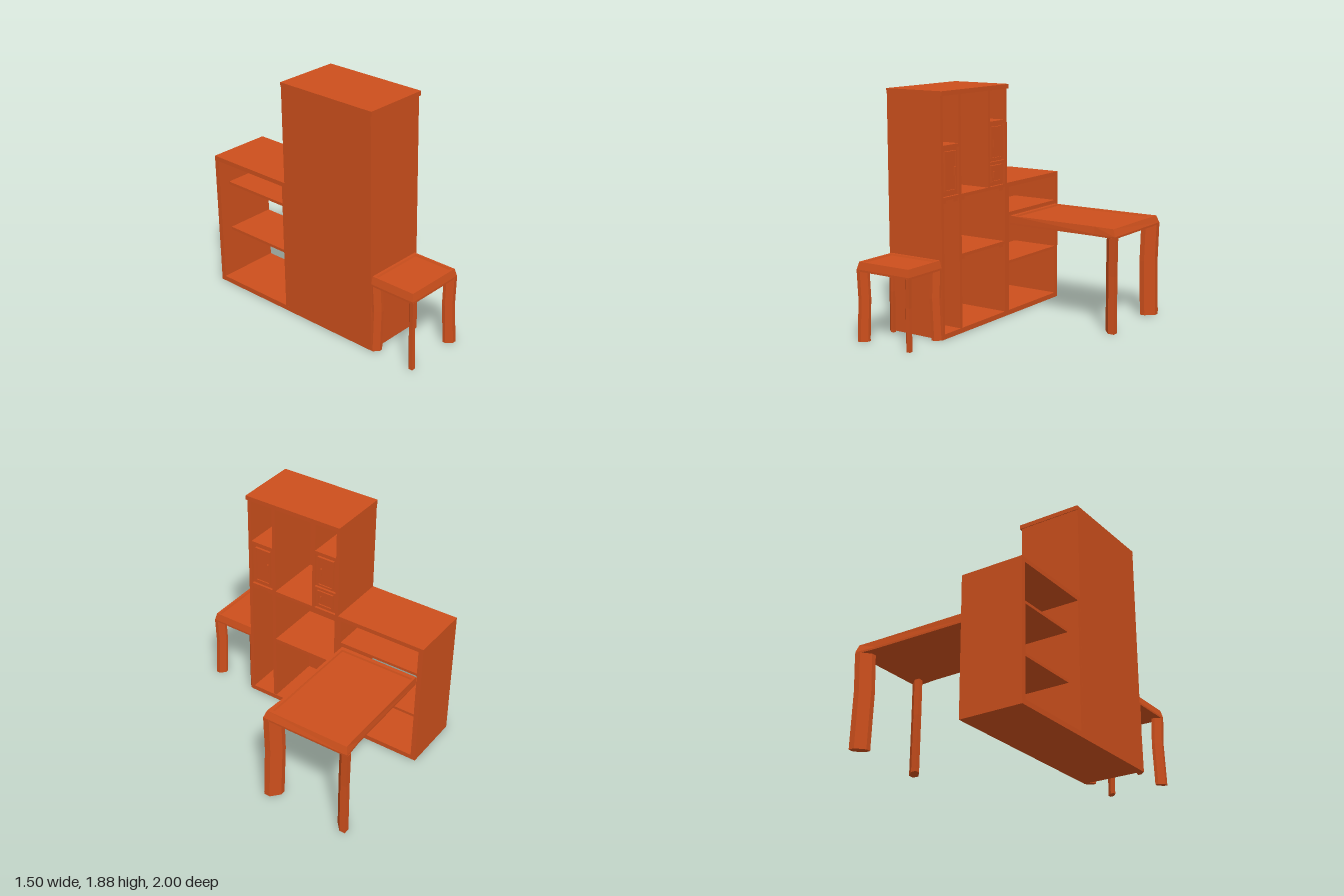
import * as THREE from 'three';

const mat = new THREE.MeshStandardMaterial({ color: 0xcc4f1c, flatShading: true, side: THREE.DoubleSide });

function add(parent, name, geo) {
  const m = new THREE.Mesh(geo, mat);
  m.name = name;
  parent.add(m);
  return m;
}

// Box given by its limits on each axis
function slab(parent, name, [x0, x1], [y0, y1], [z0, z1]) {
  const g = new THREE.BoxGeometry(Math.abs(x1 - x0), Math.abs(y1 - y0), Math.abs(z1 - z0));
  g.translate((x0 + x1) / 2, (y0 + y1) / 2, (z0 + z1) / 2);
  return add(parent, name, g);
}

// Closed solid through a stack of outlines: [{ y, pts: [[x, z], ...] }, ...]
function loft(layers) {
  const area = layers[0].pts.reduce((s, p, i, a) => {
    const q = a[(i + 1) % a.length];
    return s + p[0] * q[1] - q[0] * p[1];
  }, 0);
  const rings = layers.map(({ y, pts }) => {
    const r = pts.map(([x, z]) => [x, y, z]);
    return area < 0 ? r.reverse() : r;
  });
  const n = rings[0].length, pos = [];
  const tri = (a, b, c) => pos.push(...a, ...b, ...c);
  const centre = (r) => [0, 1, 2].map((k) => r.reduce((s, p) => s + p[k], 0) / n);
  const first = rings[0], last = rings[rings.length - 1];
  const cb = centre(first), ct = centre(last);
  for (let i = 0; i < n; i++) {
    const j = (i + 1) % n;
    for (let k = 0; k + 1 < rings.length; k++) {
      const a = rings[k], b = rings[k + 1];
      tri(a[i], b[j], a[j]);
      tri(a[i], b[i], b[j]);
    }
    tri(cb, first[i], first[j]);
    tri(ct, last[j], last[i]);
  }
  const g = new THREE.BufferGeometry();
  g.setAttribute('position', new THREE.Float32BufferAttribute(pos, 3));
  g.computeVertexNormals();
  return g;
}

// Five-sided leg: square outer corner at (x, z), tapering diagonally inwards
function leg(parent, name, x, z, sx, sz, height, size) {
  const section = [[0, 0], [-0.45, 0], [-1, -0.62], [-1, -1], [-0.62, -1], [0, -0.45]];
  const ring = (out) => section.map(([u, v]) => [x + sx * (u * size + out), z + sz * (v * size + out)]);
  add(parent, name, loft([
    { y: 0, pts: ring(0.002) },
    { y: 0.025, pts: ring(0.002) },
    { y: height * 0.6, pts: ring(-0.006) },
    { y: height, pts: ring(0) },
  ]));
}

// Table top with sloping edge and sunken panel
function tableTop(parent, name, y0, y1, outer, top, inner, sunk) {
  add(parent, name, loft([
    { y: y0, pts: outer },
    { y: y0 + 0.015, pts: outer },
    { y: y1, pts: top },
    { y: y1, pts: inner },
    { y: y1 - 0.014, pts: sunk },
  ]));
}

// Door or drawer front: recessed panel, raised border and a handle
function frontPanel(parent, name, [y0, y1], [z0, z1], handleY, handleZ) {
  const g = new THREE.Group();
  g.name = name;
  const s = new THREE.Shape([[z0, y0], [z1, y0], [z1, y1], [z0, y1]].map((p) => new THREE.Vector2(...p)));
  const b = 0.012;
  s.holes.push(new THREE.Path([[z0 + b, y0 + b], [z0 + b, y1 - b], [z1 - b, y1 - b], [z1 - b, y0 + b]]
    .map((p) => new THREE.Vector2(...p))));
  const border = new THREE.ExtrudeGeometry(s, { depth: 0.02, bevelEnabled: false });
  border.rotateY(-Math.PI / 2);
  border.translate(-0.25, 0, 0);
  add(g, 'panelBorder', border);
  slab(g, 'panel', [-0.275, -0.26], [y0, y1], [z0, z1]);
  slab(g, 'handle', [-0.262, -0.247], handleY, [handleZ - 0.006, handleZ + 0.006]);
  parent.add(g);
}

function tallCabinet() {
  const g = new THREE.Group();
  g.name = 'tallCabinet';
  const X = [-0.755, -0.245], inX = [-0.74, -0.25];
  slab(g, 'backPanel', [-0.755, -0.735], [0, 1.85], [-0.24, 0.61]);
  slab(g, 'frontSide', X, [0, 1.85], [0.583, 0.61]);
  slab(g, 'rearSide', X, [0, 1.85], [-0.24, -0.212]);
  slab(g, 'base', X, [0, 0.04], [-0.24, 0.61]);
  slab(g, 'top', [-0.755, -0.23], [1.85, 1.885], [-0.245, 0.615]);
  slab(g, 'divider', inX, [0.04, 1.85], [0.357, 0.385]);
  slab(g, 'upperDivider', inX, [1.085, 1.85], [-0.018, 0.006]);

  // Shelves: [bottom, top], [z range]
  const narrow = [0.385, 0.583], wide = [-0.212, 0.357], right = [-0.212, -0.018];
  [[[1.065, 1.09], narrow], [[1.455, 1.48], narrow], [[1.065, 1.09], wide],
    [[0.6, 0.625], wide], [[1.58, 1.605], right], [[1.265, 1.285], right]]
    .forEach(([y, z]) => slab(g, 'shelf', inX, y, z));

  // Small shelf supports
  [[1.04, 0.53], [1.04, 0.39], [1.04, 0.305], [1.04, -0.208], [0.577, 0.305], [0.577, -0.208]]
    .forEach(([y, z]) => slab(g, 'shelfSupport', [-0.72, -0.262], [y, y + 0.025], [z, z + 0.052]));

  // Fronts with the rails that surround them
  slab(g, 'doorSurround', [-0.285, -0.27], [1.09, 1.46], narrow);
  slab(g, 'rightDoorSurround', [-0.285, -0.27], [1.09, 1.585], right);
  frontPanel(g, 'leftDoor', [1.125, 1.43], [0.41, 0.552], [1.24, 1.31], 0.432);
  frontPanel(g, 'rightDoor', [1.305, 1.56], [-0.185, -0.04], [1.4, 1.46], -0.073);
  frontPanel(g, 'drawer', [1.12, 1.255], [-0.185, -0.04], [1.155, 1.205], -0.073);
  return g;
}

// Low shelf unit, open through its depth
function lowShelfUnit() {
  const g = new THREE.Group();
  g.name = 'lowShelfUnit';
  const X = [-0.755, -0.245];
  slab(g, 'top', X, [1.06, 1.095], [-1, -0.24]);
  slab(g, 'base', X, [0, 0.04], [-1, -0.24]);
  slab(g, 'outerSide', X, [0.04, 1.06], [-1, -0.96]);
  slab(g, 'innerSide', X, [0.04, 1.06], [-0.268, -0.241]);
  [0.83, 0.43].forEach((y) => slab(g, 'shelf', [-0.66, -0.25], [y, y + 0.022], [-0.96, -0.268]));
  return g;
}

function desk() {
  const g = new THREE.Group();
  g.name = 'desk';
  tableTop(g, 'deskTop', 0.75, 0.822,
    [[-0.245, -0.285], [0.55, -0.27], [0.747, -0.25], [0.742, -0.98], [0.56, -0.965], [-0.245, -0.957]],
    [[-0.245, -0.287], [0.55, -0.28], [0.722, -0.268], [0.722, -0.962], [0.56, -0.958], [-0.245, -0.955]],
    [[-0.213, -0.31], [0.55, -0.305], [0.695, -0.302], [0.69, -0.933], [0.56, -0.935], [-0.213, -0.94]],
    [[-0.208, -0.315], [0.55, -0.312], [0.685, -0.31], [0.68, -0.925], [0.56, -0.928], [-0.208, -0.933]]);
  leg(g, 'frontLeg', 0.747, -0.25, 1, 1, 0.755, 0.112);
  leg(g, 'rearLeg', 0.742, -0.982, 1, -1, 0.755, 0.108);
  return g;
}

function sideTable() {
  const g = new THREE.Group();
  g.name = 'sideTable';
  const rect = (x0, x1, z0, z1) => [[x0, z0], [x1, z0], [x1, z1], [x0, z1]];
  tableTop(g, 'sideTableTop', 0.545, 0.618,
    rect(-0.753, -0.252, 0.605, 0.995), rect(-0.738, -0.266, 0.608, 0.982),
    rect(-0.722, -0.28, 0.63, 0.962), rect(-0.715, -0.287, 0.637, 0.955));
  [[-0.753, -1], [-0.252, 1]].forEach(([x, s]) => {
    leg(g, 'frontLeg', x, 0.996, s, 1, 0.55, 0.068);
    leg(g, 'rearLeg', x, 0.596, s, -1, 0.55, 0.066);
  });
  return g;
}

export function createModel() {
  const model = new THREE.Group();
  model.name = 'shelvingWithTables';
  model.add(tallCabinet(), lowShelfUnit(), desk(), sideTable());
  return model;
}
